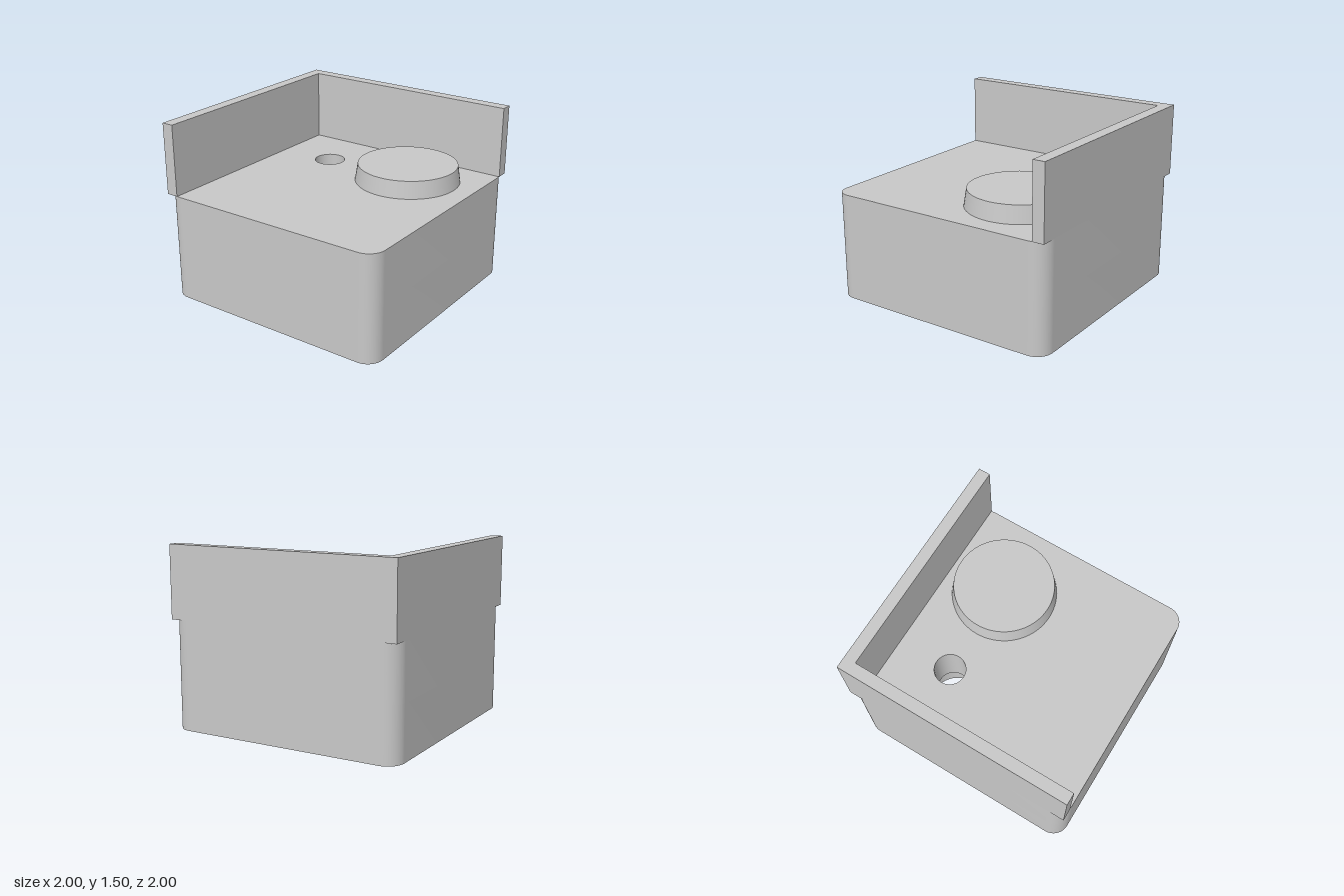
import * as THREE from 'three';
import { toCreasedNormals } from 'three/addons/utils/BufferGeometryUtils.js';

const BODY_HEIGHT = 0.9;
const BORE_DEPTH = 0.45;
const WALL_TOP = 1.5;
const CORNER = 0.14;

// Plan outlines are drawn as (x, -z) and raised along y.
function raise(shape, y0, y1) {
  const geometry = new THREE.ExtrudeGeometry(shape, {
    depth: y1 - y0, bevelEnabled: false, curveSegments: 24,
  });
  geometry.rotateX(-Math.PI / 2);
  geometry.translate(0, y0, 0);
  return toCreasedNormals(geometry, Math.PI / 6);
}

// Rounded square block outline with round holes given as [x, z, radius]
function blockShape(holes) {
  const s = new THREE.Shape();
  const c = 1 - CORNER;
  s.absarc(c, c, CORNER, 0, Math.PI / 2);
  s.absarc(-c, c, CORNER, Math.PI / 2, Math.PI);
  s.absarc(-c, -c, CORNER, Math.PI, Math.PI * 1.5);
  s.absarc(c, -c, CORNER, Math.PI * 1.5, Math.PI * 2);
  s.closePath();
  for (const [x, z, r] of holes) {
    s.holes.push(new THREE.Path().absarc(x, -z, r, 0, Math.PI * 2, true));
  }
  return s;
}

export function createModel() {
  const group = new THREE.Group();
  const grey = new THREE.MeshStandardMaterial({ color: 0xc8c8c8 });
  grey.name = 'light grey';

  const add = (name, geometry, parent = group) => {
    const mesh = new THREE.Mesh(geometry, grey);
    mesh.name = name;
    parent.add(mesh);
    return mesh;
  };

  // Block: wide bores from below, a narrow hole continuing through the top
  const body = new THREE.Group();
  body.name = 'body';
  group.add(body);
  const lower = blockShape([[-0.417, -0.417, 0.235], [0.48, 0.25, 0.238]]);
  const upper = blockShape([[-0.417, -0.417, 0.13]]);
  add('boredBase', raise(lower, 0, BORE_DEPTH), body);
  add('upperBlock', raise(upper, BORE_DEPTH, BODY_HEIGHT), body);

  // Square-cornered L-shaped wall along the back and one side
  const wall = new THREE.Shape([
    [-1, -1], [-0.9, -1], [-0.9, 0.9], [1, 0.9], [1, 1], [-1, 1],
  ].map(([x, y]) => new THREE.Vector2(x, y)));
  add('cornerWall', raise(wall, BODY_HEIGHT, WALL_TOP));

  // Tapered round boss
  const boss = add('boss', new THREE.CylinderGeometry(0.418, 0.44, 0.145, 72));
  boss.position.set(0.4, BODY_HEIGHT + 0.0725, -0.4);

  return group;
}
